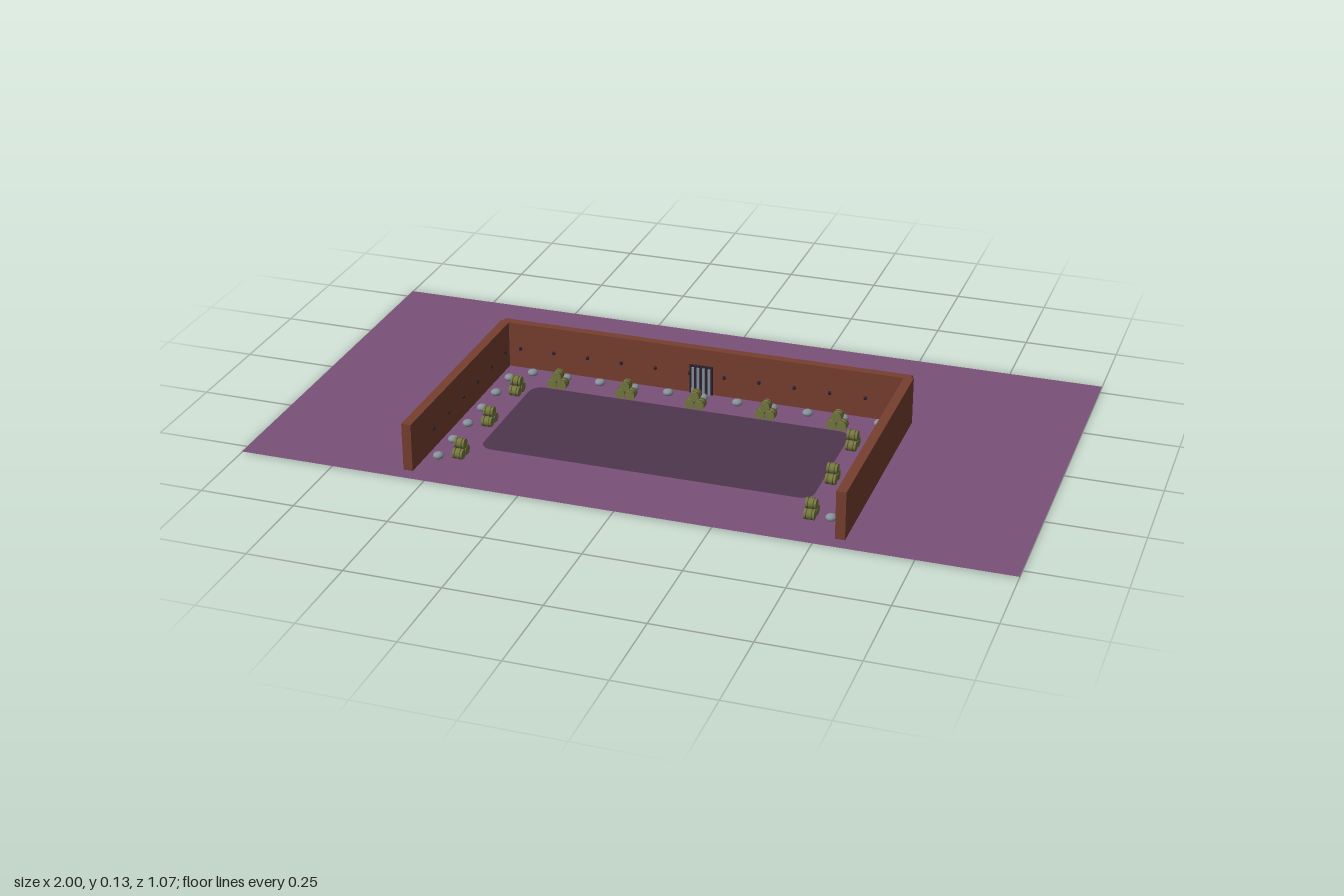
import * as THREE from 'three';

const mat = (name, color, extra = {}) => {
  const m = new THREE.MeshStandardMaterial({ color, ...extra });
  m.name = name;
  return m;
};

export function createModel() {
  const model = new THREE.Group();
  const purple = mat('purple ground', 0x7a5078, { side: THREE.DoubleSide });
  const dark = mat('dark floor', 0x4e364d, { side: THREE.DoubleSide });
  const brick = mat('brick brown', 0x763f2f);
  const olive = mat('olive', 0x74783f);
  const band = mat('band brown', 0x54482a);
  const grey = mat('stone grey', 0x87909c);
  const iron = mat('dark iron', 0x2b2430);

  const add = (name, geo, material, x, y, z, parent = model) => {
    const mesh = new THREE.Mesh(geo, material);
    mesh.name = name;
    mesh.position.set(x, y, z);
    parent.add(mesh);
    return mesh;
  };
  const box = (name, w, h, d, material, x, y, z, parent) =>
    add(name, new THREE.BoxGeometry(w, h, d), material, x, y, z, parent);

  // Ground sheet with an opening for the rounded arena floor
  const roundedRect = (path, w, h, r) => {
    path.absarc(w / 2 - r, h / 2 - r, r, 0, Math.PI / 2);
    path.absarc(r - w / 2, h / 2 - r, r, Math.PI / 2, Math.PI);
    path.absarc(r - w / 2, r - h / 2, r, Math.PI, Math.PI * 1.5);
    path.absarc(w / 2 - r, r - h / 2, r, Math.PI * 1.5, Math.PI * 2);
    path.closePath();
    return path;
  };
  const floorZ = 0.133;
  const sheet = new THREE.Shape();
  sheet.moveTo(-1, -0.533 + floorZ).lineTo(1, -0.533 + floorZ);
  sheet.lineTo(1, 0.533 + floorZ).lineTo(-1, 0.533 + floorZ).closePath();
  sheet.holes.push(roundedRect(new THREE.Path(), 0.878, 0.38, 0.035));
  const floor = roundedRect(new THREE.Shape(), 0.878, 0.38, 0.035);
  add('ground', new THREE.ShapeGeometry(sheet, 8), purple, 0, 0.002, floorZ).rotation.x = -Math.PI / 2;
  add('arenaFloor', new THREE.ShapeGeometry(floor, 8), dark, 0, 0.002, floorZ).rotation.x = -Math.PI / 2;

  // Walls on three sides
  box('backWall', 1.13, 0.13, 0.024, brick, 0, 0.065, -0.168);
  for (const s of [-1, 1]) {
    box(s > 0 ? 'leftWall' : 'rightWall', 0.025, 0.13, 0.658, brick, s * 0.5585, 0.065, 0.165);
  }

  // Barred gate on the back wall
  const gate = new THREE.Group();
  gate.name = 'gate';
  gate.position.set(0, 0, -0.154);
  box('gatePanel', 0.064, 0.084, 0.005, iron, 0, 0.042, 0, gate);
  for (let i = 0; i < 4; i++) {
    box('gateBar', 0.007, 0.076, 0.004, grey, -0.0225 + i * 0.015, 0.04, 0.004, gate);
  }
  model.add(gate);

  // Stones and wall studs along each side
  const stoneGeo = new THREE.SphereGeometry(0.0145, 10, 8).scale(1, 0.66, 1);
  const studGeo = new THREE.SphereGeometry(0.005, 8, 6);
  const step = 0.096;
  for (let i = 0; i < 11; i++) {
    add('stone', stoneGeo, grey, -0.465 + i * step, 0.0096, -0.12);
    add('stud', studGeo, iron, -0.513 + i * step, 0.058, -0.154);
  }
  for (const s of [-1, 1]) {
    for (let i = 0; i < 6; i++) {
      add('stone', stoneGeo, grey, s * 0.513, 0.0096, -0.072 + i * step);
      add('stud', studGeo, iron, s * 0.545, 0.058, -0.12 + i * step);
    }
  }

  // Pyramids of three barrels
  const r = 0.0135;
  const barrelGeo = new THREE.CylinderGeometry(r, r, 0.027, 12).rotateX(Math.PI / 2);
  const bandGeo = new THREE.CylinderGeometry(r + 0.0005, r + 0.0005, 0.002, 12).rotateX(Math.PI / 2);
  const barrelStack = (x, z, turn) => {
    const stack = new THREE.Group();
    stack.name = 'barrelStack';
    stack.position.set(x, 0, z);
    stack.rotation.y = turn;
    for (const [bx, by] of [[-r, r], [r, r], [0, r * 2.73]]) {
      add('barrel', barrelGeo, olive, bx, by + 0.0005, 0, stack);
      for (const bz of [-0.007, 0.007]) add('barrelBand', bandGeo, band, bx, by + 0.0005, bz, stack);
    }
    model.add(stack);
  };
  for (let i = 0; i < 5; i++) barrelStack(-0.374 + i * 0.1925, -0.072, 0);
  for (let i = 0; i < 3; i++) {
    barrelStack(-0.465, -0.005 + i * 0.191, Math.PI / 2);
    barrelStack(0.462, 0.021 + i * 0.191, Math.PI / 2);
  }
  return model;
}
